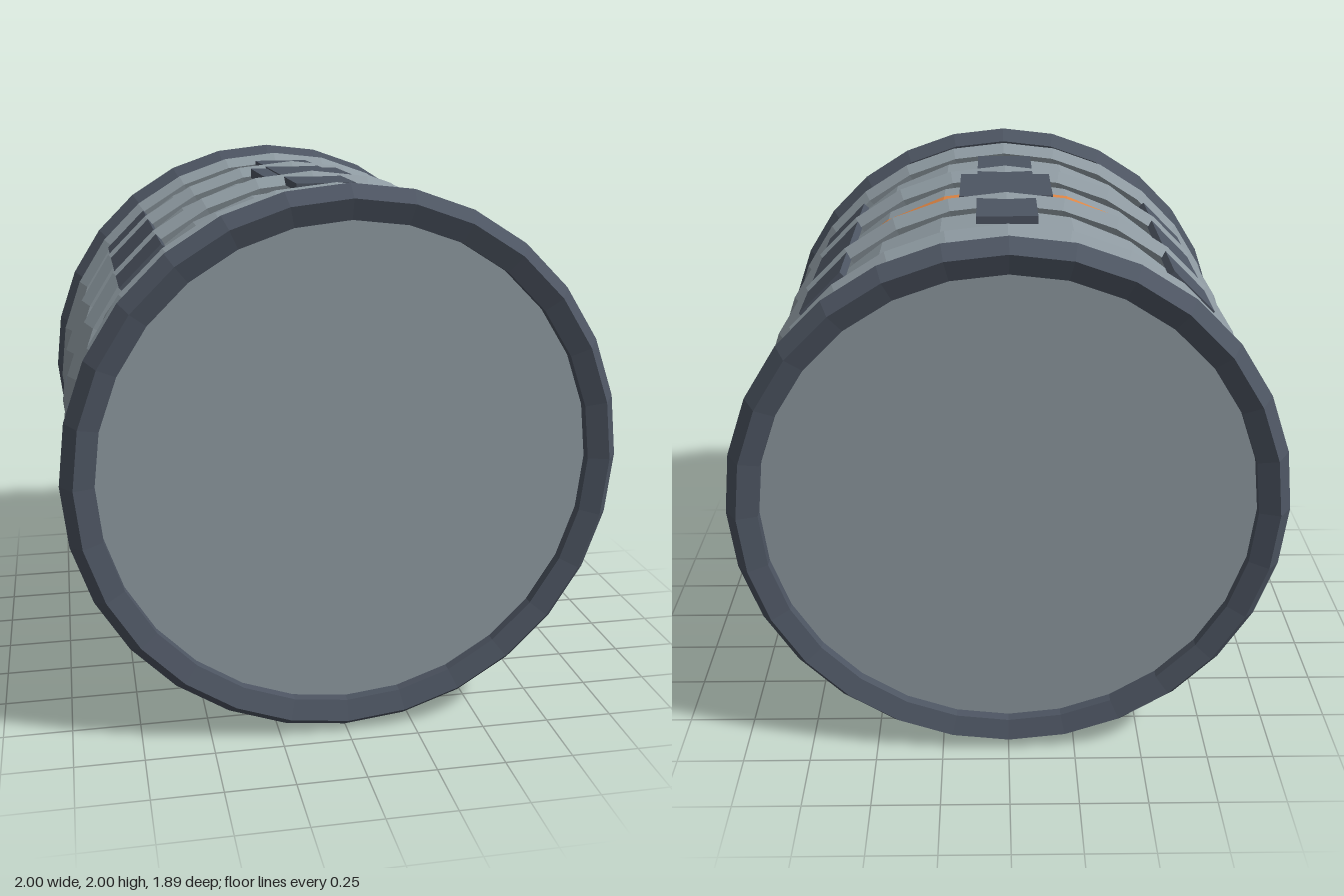
import * as THREE from 'three';

const flat = (name, color, extra = {}) => {
  const m = new THREE.MeshStandardMaterial({ color, flatShading: true, ...extra });
  m.name = name;
  return m;
};

export function createModel() {
  const hull = flat('hull grey', 0x8f9ba2);
  const dark = flat('dark slate', 0x4d5562);
  const orange = flat('orange', 0xde8645, { side: THREE.DoubleSide });

  const model = new THREE.Group();
  model.name = 'barrelModule';
  const barrel = new THREE.Group(); // axis along z, centred on the origin
  barrel.name = 'barrel';
  barrel.position.y = 1;
  model.add(barrel);

  const add = (name, geometry, material, parent = barrel) => {
    const mesh = new THREE.Mesh(geometry, material);
    mesh.name = name;
    parent.add(mesh);
    return mesh;
  };

  // Main drum, its ends recessed to the middle of the end rims
  add('body', new THREE.CylinderGeometry(0.926, 0.926, 1.766, 24).rotateX(Math.PI / 2), hull);

  // Thin coloured band round the middle
  add('band', new THREE.CylinderGeometry(0.931, 0.931, 0.074, 24, 1, true).rotateX(Math.PI / 2), orange);

  // Five-sided hoops with the ridge outwards, mirrored front to back
  const hoop = (name, radius, tube, z, material) => {
    for (const side of [1, -1]) {
      add(name, new THREE.TorusGeometry(radius, tube, 5, 28), material).position.z = side * z;
    }
  };
  hoop('endRim', 0.9345, 0.0655, 0.883, dark);
  hoop('outerRib', 0.928, 0.052, 0.663, hull);
  hoop('innerRib', 0.928, 0.052, 0.22, hull);

  // Eight long plates standing just off the drum
  for (let i = 0; i < 8; i++) {
    const arm = new THREE.Group();
    arm.name = 'plateMount';
    arm.rotation.z = (i * Math.PI) / 4;
    barrel.add(arm);
    add('plate', new THREE.BoxGeometry(0.028, 0.22, 0.985), dark, arm).position.x = 0.946;
  }

  // Hatch under the top plate
  add('hatch', new THREE.BoxGeometry(0.352, 0.037, 0.358), dark).position.y = 0.9365;

  return model;
}
